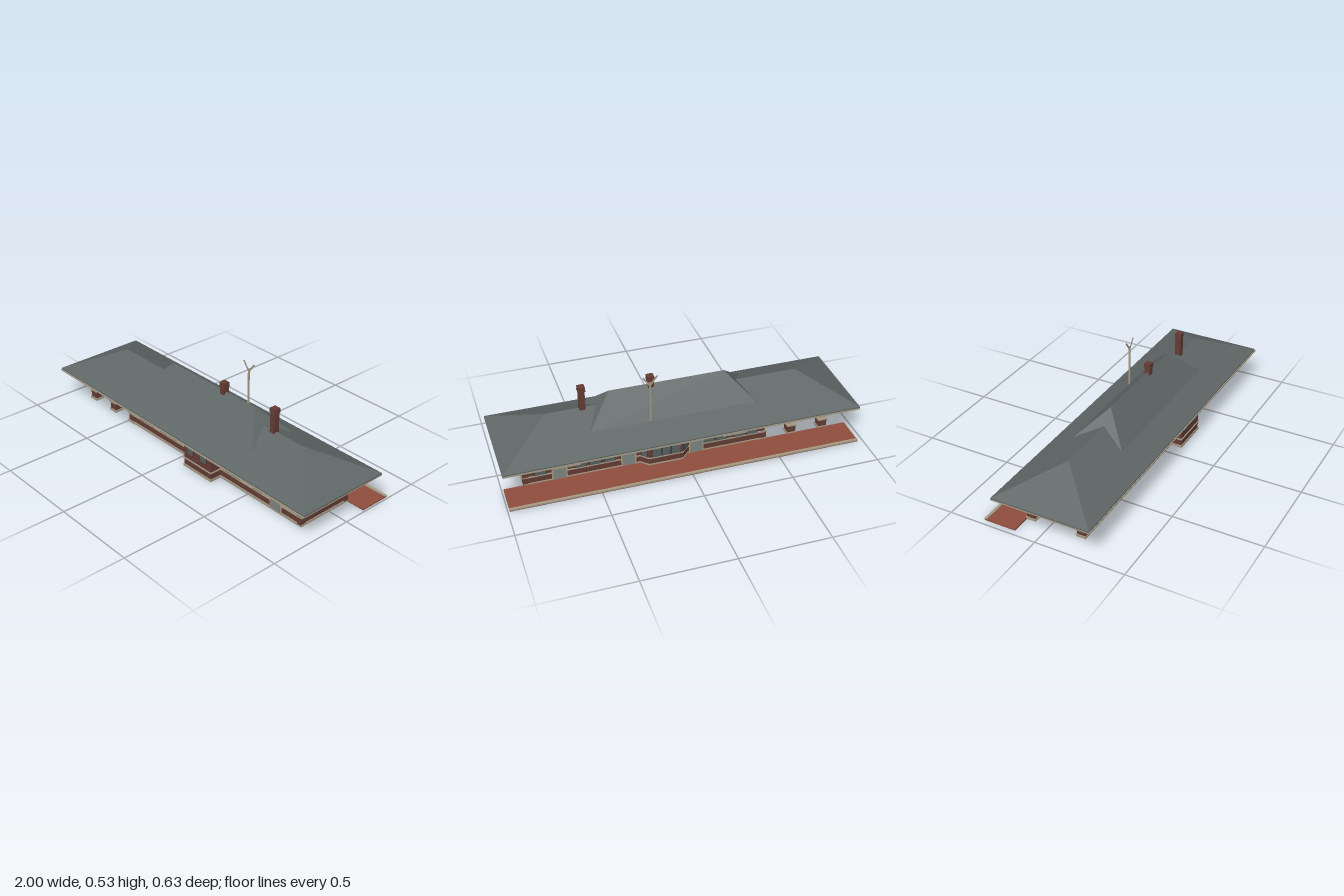
import * as THREE from 'three';

const mat = (name, color) => {
  const m = new THREE.MeshStandardMaterial({ color });
  m.name = name;
  return m;
};

export function createModel() {
  const brick = mat('brick', 0x643c34);
  const stone = mat('stone trim', 0xa59a85);
  const slate = mat('slate roof', 0x5f6666);
  const glass = mat('window panes', 0x576060);
  const dark = mat('dark frames', 0x2e3030);
  const paving = mat('platform paving', 0x8f4d3c);
  const doorPaint = mat('door panels', 0x7c8582);
  const model = new THREE.Group();
  model.name = 'station';

  const add = (name, geo, material, parent = model) => {
    const m = new THREE.Mesh(geo, material);
    m.name = name;
    parent.add(m);
    return m;
  };
  // Box given by its min and max on each axis
  const box = (name, material, x0, x1, y0, y1, z0, z1, parent = model) => {
    const m = add(name, new THREE.BoxGeometry(x1 - x0, y1 - y0, z1 - z0), material, parent);
    m.position.set((x0 + x1) / 2, (y0 + y1) / 2, (z0 + z1) / 2);
    return m;
  };
  // Hip roof: rectangular eaves rising to a ridge along x
  const hip = (name, x0, x1, z0, z1, y, r0, r1, rz, ry) => {
    const a = [x0, y, z1], b = [x1, y, z1], c = [x1, y, z0], d = [x0, y, z0];
    const e = [r0, ry, rz], f = [r1, ry, rz];
    const tris = [a, b, f, a, f, e, b, c, f, c, d, e, c, e, f, d, a, e, a, d, c, a, c, b];
    const g = new THREE.BufferGeometry();
    g.setAttribute('position', new THREE.Float32BufferAttribute(tris.flat(), 3));
    g.computeVertexNormals();
    add(name, g, slate);
  };
  // Vertical prism over a plan outline of [x, z] points
  const prism = (name, material, pts, y0, y1) => {
    const s = new THREE.Shape(pts.map(([x, z]) => new THREE.Vector2(x, -z)));
    const g = new THREE.ExtrudeGeometry(s, { depth: y1 - y0, bevelEnabled: false });
    g.rotateX(-Math.PI / 2);
    add(name, g, material).position.y = y0;
  };

  // Roofs, eaves and soffit
  hip('mainRoof', -1, 1, -0.245, 0.31, 0.182, -0.715, 0.715, 0.033, 0.32);
  hip('upperRoof', -0.433, 0.503, -0.11, 0.176, 0.25, -0.29, 0.36, 0.033, 0.395);
  box('roofEdge', slate, -1, 1, 0.175, 0.182, -0.245, 0.31);
  box('eavesTrim', stone, -1, 1, 0.167, 0.175, -0.248, 0.315);

  // Brick blocks with stone plinth and belt course
  const block = (name, x0, x1, z0, z1) => {
    box(name, brick, x0, x1, 0.014, 0.167, z0, z1);
    box(name + 'Plinth', stone, x0 - 0.004, x1 + 0.004, 0, 0.014, z0 - 0.004, z1 + 0.004);
    box(name + 'Belt', stone, x0 - 0.005, x1 + 0.005, 0.05, 0.056, z0 - 0.005, z1 + 0.005);
  };
  block('mainWalls', -0.475, 0.88, -0.132, 0.2);
  block('frontBay', 0.075, 0.288, 0.15, 0.269);

  // Corner pilasters
  for (const [x0, x1] of [[-0.479, -0.45], [0.855, 0.884]])
    for (const [z0, z1] of [[-0.136, -0.106], [0.174, 0.204]])
      box('cornerPilaster', brick, x0, x1, 0.01, 0.167, z0, z1);

  // Angled bay on the track side
  const bay = (g) => [[-0.03 - g, -0.12], [-0.03 - g, -0.132], [0.01 - g / 2, -0.172 - g],
    [0.2 + g / 2, -0.172 - g], [0.24 + g, -0.132], [0.24 + g, -0.12]];
  prism('trackBay', brick, bay(0), 0.014, 0.167);
  prism('trackBayPlinth', stone, bay(0.004), 0, 0.015);
  prism('trackBayBelt', stone, bay(0.004), 0.05, 0.056);

  // Wall frames: local x runs along the wall, local z points outward
  const wall = (name, x, z, turn) => {
    const g = new THREE.Group();
    g.name = name;
    g.position.set(x, 0, z);
    g.rotation.y = turn;
    model.add(g);
    return g;
  };
  const front = wall('frontOpenings', 0, 0.2, 0);
  const bayFront = wall('bayOpenings', 0, 0.269, 0);
  const back = wall('backOpenings', 0, -0.132, Math.PI);
  const trackBayFront = wall('trackBayOpenings', 0, -0.172, Math.PI);
  const right = wall('endOpenings', 0.88, 0, Math.PI / 2);
  const left = wall('porchOpenings', -0.475, 0, -Math.PI / 2);

  const win = (parent, u, w, y0, y1) => {
    box('windowFrame', dark, u - w / 2 - 0.003, u + w / 2 + 0.003, y0 - 0.003, y1 + 0.003, -0.001, 0.003, parent);
    box('windowPane', glass, u - w / 2, u + w / 2, y0, y1, 0, 0.006, parent);
  };
  const door = (parent, u) => {
    box('doorFrame', stone, u - 0.042, u + 0.042, 0.012, 0.147, -0.001, 0.004, parent);
    box('doorLeaf', doorPaint, u - 0.034, u + 0.034, 0.012, 0.12, 0, 0.007, parent);
    box('doorTransom', glass, u - 0.034, u + 0.034, 0.125, 0.14, 0, 0.006, parent);
  };
  for (const u of [-0.367, -0.293, -0.178, -0.103, 0.335, 0.412, 0.57]) win(front, u, 0.062, 0.058, 0.155);
  door(front, 0.703);
  for (const u of [0.128, 0.232]) win(bayFront, u, 0.042, 0.095, 0.14);
  for (const x of [0.79, 0.57, 0.49, 0.41, -0.15, -0.225, -0.33, -0.405]) win(back, -x, 0.06, 0.058, 0.155);
  for (const x of [0.685, 0.305, -0.08]) door(back, -x);
  for (const x of [0.05, 0.105, 0.16]) win(trackBayFront, -x, 0.045, 0.06, 0.15);
  win(right, -0.035, 0.052, 0.11, 0.157);
  door(left, 0.035);
  for (const u of [-0.06, 0.12]) win(left, u, 0.05, 0.06, 0.15);
  // Lattice windows on the angled cheeks
  win(wall('bayCheekRight', 0.22, -0.152, Math.PI * 0.75), 0, 0.036, 0.06, 0.15);
  win(wall('bayCheekLeft', -0.01, -0.152, -Math.PI * 0.75), 0, 0.036, 0.06, 0.15);

  // Curved eaves brackets
  const outline = new THREE.Shape();
  outline.moveTo(0, 0).lineTo(0.007, 0).lineTo(0.007, 0.012);
  outline.quadraticCurveTo(0.014, 0.036, 0.046, 0.041).lineTo(0.046, 0.046).lineTo(0, 0.046);
  const gap = new THREE.Path();
  gap.moveTo(0.007, 0.023).lineTo(0.007, 0.041).lineTo(0.028, 0.041);
  gap.quadraticCurveTo(0.014, 0.036, 0.007, 0.023);
  outline.holes.push(gap);
  const bracketGeo = new THREE.ExtrudeGeometry(outline, { depth: 0.009, bevelEnabled: false, curveSegments: 6 });
  const brackets = (parent, list) => list.forEach((u) =>
    add('eavesBracket', bracketGeo, stone, parent).position.set(u, 0.121, 0));
  brackets(front, [-0.42, -0.24, -0.19, -0.05, 0.3, 0.46, 0.65, 0.82]);
  brackets(back, [-0.84, -0.64, -0.46, -0.36, 0.12, 0.26, 0.43]);
  brackets(right, [-0.15, -0.089, 0.021, 0.083]);
  brackets(left, [-0.15, -0.089, 0.021, 0.083]);

  // Porch pedestals with paired posts, and beams above
  for (const z of [-0.11, 0.18]) {
    for (const x of [-0.835, -0.645, -0.468]) {
      box('pedestalFoot', stone, x - 0.028, x + 0.028, 0, 0.014, z - 0.028, z + 0.028);
      box('pedestal', brick, x - 0.024, x + 0.024, 0.014, 0.056, z - 0.024, z + 0.024);
      box('pedestalCap', stone, x - 0.028, x + 0.028, 0.054, 0.063, z - 0.028, z + 0.028);
      if (x < -0.5)
        for (const dx of [-0.014, 0.014])
          box('porchPost', brick, x + dx - 0.007, x + dx + 0.007, 0.063, 0.15, z - 0.008, z + 0.008);
    }
    box('porchBeam', stone, -0.865, -0.475, 0.15, 0.167, z - 0.01, z + 0.01);
  }
  box('porchEndBeam', stone, -0.845, -0.825, 0.15, 0.167, -0.11, 0.18);

  // Track platform with stone edge
  box('platform', paving, -0.97, 0.99, 0, 0.008, -0.314, -0.134);
  box('platformEdge', stone, -0.97, 0.99, 0.004, 0.013, -0.315, -0.3);

  // Thin boards hanging under the track-side eaves
  for (const x of [0.66, -0.27]) box('hangingBoard', stone, x - 0.07, x + 0.07, 0.145, 0.167, -0.229, -0.226);

  // Chimneys
  for (const [x, y0, y1] of [[0.51, 0.25, 0.453], [0.13, 0.36, 0.446]]) {
    box('chimney', brick, x - 0.016, x + 0.016, y0, y1 - 0.018, 0.016, 0.05);
    box('chimneyCollar', brick, x - 0.02, x + 0.02, y1 - 0.026, y1 - 0.02, 0.013, 0.053);
    box('chimneyCap', brick, x - 0.019, x + 0.019, y1 - 0.018, y1, 0.014, 0.052);
  }

  // Signal mast with two raised arms
  box('mast', stone, 0.166, 0.174, 0.24, 0.494, -0.109, -0.101);
  for (const s of [-1, 1]) {
    const arm = add('mastArm', new THREE.BoxGeometry(0.009, 0.066, 0.003), stone);
    arm.position.set(0.17 + s * 0.02, 0.503, -0.105);
    arm.rotation.z = -s * 0.63;
  }
  return model;
}
